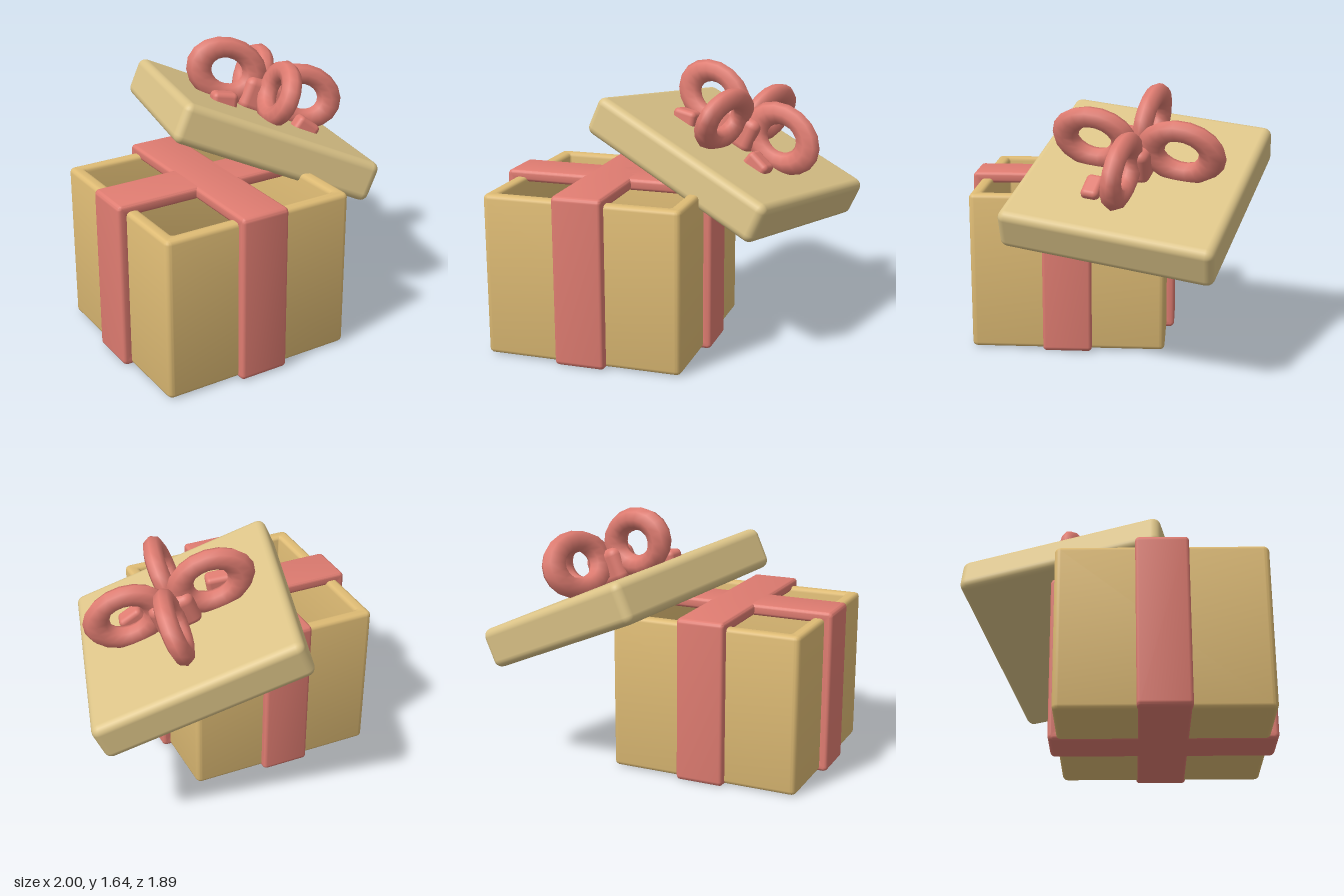
import * as THREE from 'three';
import { RoundedBoxGeometry } from 'three/addons/geometries/RoundedBoxGeometry.js';
import { toCreasedNormals } from 'three/addons/utils/BufferGeometryUtils.js';

const cardboard = new THREE.MeshStandardMaterial({ color: 0xdebb74 });
const lidCard = new THREE.MeshStandardMaterial({ color: 0xdcc488 });
const ribbon = new THREE.MeshStandardMaterial({ color: 0xdf7c71 });

function addMesh(parent, name, geometry, material, x = 0, y = 0, z = 0) {
  const mesh = new THREE.Mesh(geometry, material);
  mesh.name = name;
  mesh.position.set(x, y, z);
  parent.add(mesh);
  return mesh;
}

// Rounded rectangle centred on the origin
function roundedRect(path, w, h, r) {
  const x = w / 2, y = h / 2;
  path.moveTo(-x + r, -y);
  path.lineTo(x - r, -y);
  path.absarc(x - r, -y + r, r, -Math.PI / 2, 0);
  path.lineTo(x, y - r);
  path.absarc(x - r, y - r, r, 0, Math.PI / 2);
  path.lineTo(-x + r, y);
  path.absarc(-x + r, y - r, r, Math.PI / 2, Math.PI);
  path.lineTo(-x, -y + r);
  path.absarc(-x + r, -y + r, r, Math.PI, Math.PI * 1.5);
  path.closePath();
  return path;
}

// Rectangular frame with soft edges, centred, its depth along z
function frame(w, h, depth, wall, radius, bevel) {
  const shape = roundedRect(new THREE.Shape(), w, h, radius);
  shape.holes.push(roundedRect(new THREE.Path(), w - 2 * wall, h - 2 * wall, 0.01));
  const geometry = new THREE.ExtrudeGeometry(shape, {
    depth: depth - 2 * bevel, bevelEnabled: true, bevelThickness: bevel,
    bevelSize: bevel, bevelOffset: -bevel, bevelSegments: 3, curveSegments: 4,
  });
  geometry.translate(0, 0, bevel - depth / 2);
  return toCreasedNormals(geometry, 0.7);
}

export function createModel() {
  const model = new THREE.Group();
  model.name = 'openGiftBox';

  // Open box: four walls and a floor
  const box = new THREE.Group();
  box.name = 'box';
  box.position.set(-0.35, 0, 0.29);
  model.add(box);
  const walls = frame(1.2, 1.2, 0.975, 0.08, 0.035, 0.025).rotateX(-Math.PI / 2);
  addMesh(box, 'boxWalls', walls, cardboard, 0, 0.4925, 0);
  addMesh(box, 'boxFloor', new RoundedBoxGeometry(1.16, 0.075, 1.16, 2, 0.01), cardboard, 0, 0.043, 0);

  // Two ribbon bands wrapped around the box at right angles
  for (const [name, turn] of [['ribbonAcross', 0], ['ribbonFrontToBack', Math.PI / 2]]) {
    const band = addMesh(box, name, frame(1.3, 1.02, 0.3, 0.07, 0.03, 0.02), ribbon, 0, 0.51, 0);
    band.rotation.y = turn;
  }

  // Tilted lid leaning on the box
  const lid = new THREE.Group();
  lid.name = 'lidWithBow';
  lid.position.set(0.235, 1.05, -0.152);
  lid.rotation.set(-0.1, -0.275, -0.435);
  model.add(lid);
  addMesh(lid, 'lid', new RoundedBoxGeometry(1.3, 0.25, 1.3, 3, 0.05), lidCard);

  // Bow: four upright loops meeting over a knot
  const bow = new THREE.Group();
  bow.name = 'bow';
  lid.add(bow);
  for (let i = 0; i < 4; i++) {
    const arm = new THREE.Group();
    arm.name = 'bowArm';
    arm.rotation.y = i * Math.PI / 2;
    const loop = addMesh(arm, 'bowLoop', new THREE.TorusGeometry(0.18, 0.08, 8, 18), ribbon, 0.27, 0.295, 0);
    loop.scale.set(1.04, 0.8, 0.75);
    bow.add(arm);
  }
  addMesh(bow, 'knot', new RoundedBoxGeometry(0.28, 0.22, 0.2, 3, 0.05), ribbon, 0, 0.21, 0);

  // Short ribbon ends resting on the lid
  for (const side of [-1, 1]) {
    const tail = addMesh(bow, 'ribbonEnd', new RoundedBoxGeometry(0.16, 0.11, 0.11, 3, 0.03), ribbon, side * 0.285, 0.135, 0.18);
    tail.rotation.z = -side * 0.25;
  }
  return model;
}
